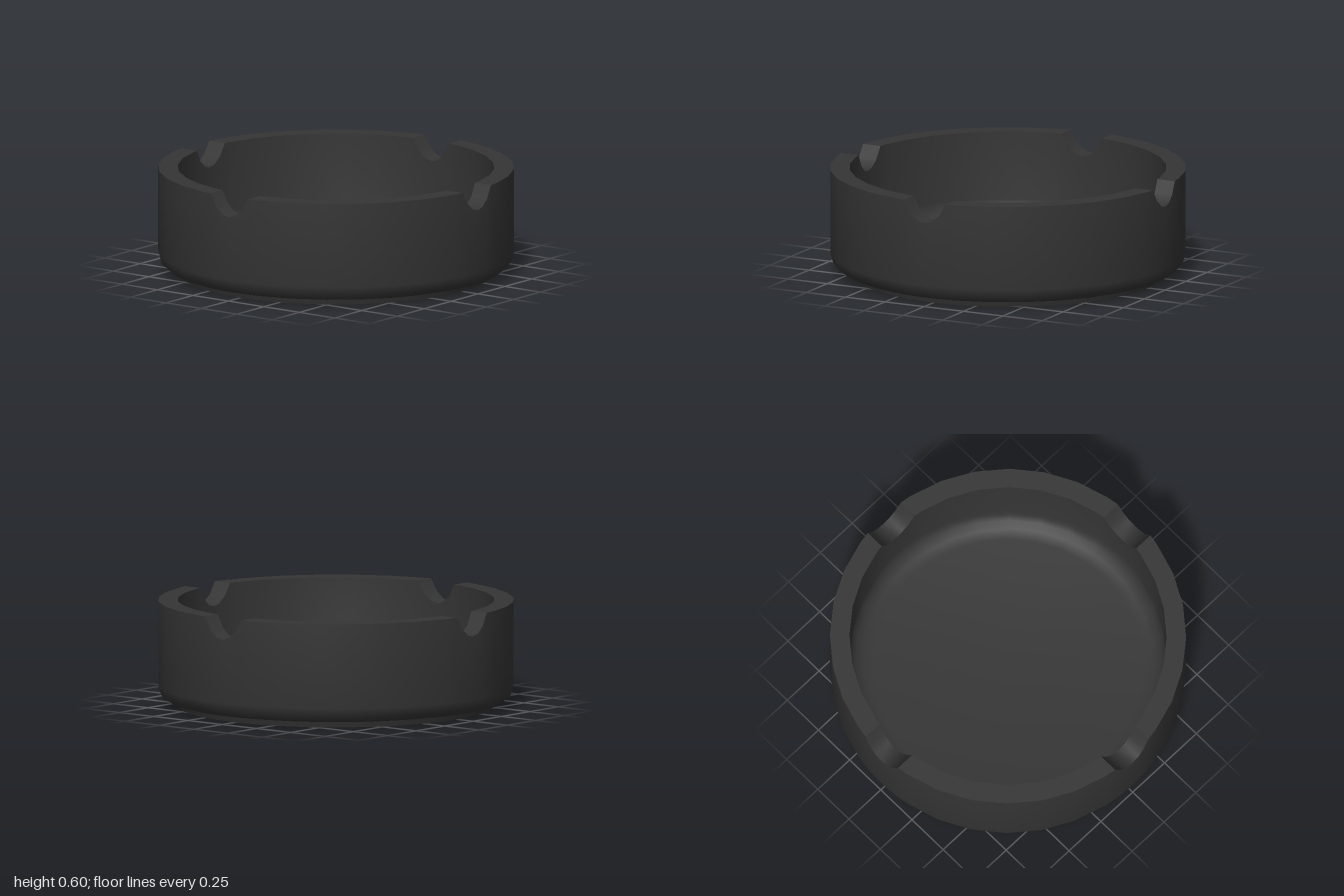
import * as THREE from 'three';
import { toCreasedNormals } from 'three/addons/utils/BufferGeometryUtils.js';

const SIDES = 32;
const TOP = 0.6;

// Half of a notch: [sideways offset, height], mirrored about its middle
const NOTCH = [[0, 0.48], [0.045, 0.492], [0.09, 0.53], [0.13, TOP]];

// Wall sections as [radius, height]; a null height follows the notched rim
const PROFILE = [
  [0, 0.1], [0.76, 0.1], [0.82, 0.108], [0.862, 0.13], [0.885, 0.17],
  [0.89, 0.21], [0.89, null], [1, null], [1, 0.12],
  [0.985, 0.07], [0.95, 0.04], [0.89, 0.03],
];

// Columns around the bowl: extra ones where the four notches cut the rim
function makeColumns() {
  const columns = [];
  const notch = [
    ...NOTCH.slice(1).reverse().map(([u, y]) => [-u, y]),
    ...NOTCH,
  ];
  for (let q = 0; q < 4; q++) {
    const base = q * Math.PI / 2;
    for (const [u, y] of notch) columns.push({ base, u, y });
    for (let i = 1; i < SIDES / 4; i++) {
      columns.push({ base, angle: i * 2 * Math.PI / SIDES, y: TOP });
    }
  }
  return columns;
}

// Notch sides run parallel, so their angle depends on the radius
function pointOn(column, [r, height]) {
  const spread = column.u === undefined
    ? column.angle
    : Math.asin(column.u / Math.max(r, 0.89));
  const a = column.base + spread;
  return [r * Math.sin(a), height ?? column.y, r * Math.cos(a)];
}

function bowlGeometry() {
  const columns = makeColumns();
  const rows = PROFILE.length;
  const positions = [];
  const index = [];
  for (const column of columns) {
    for (const p of PROFILE) positions.push(...pointOn(column, p));
  }
  for (let c = 0; c < columns.length; c++) {
    const next = (c + 1) % columns.length;
    for (let r = 0; r < rows - 1; r++) {
      const a = c * rows + r, b = next * rows + r;
      if (r > 0) index.push(a, b + 1, b);
      index.push(a, a + 1, b + 1);
    }
  }
  const geometry = new THREE.BufferGeometry();
  geometry.setAttribute('position', new THREE.Float32BufferAttribute(positions, 3));
  geometry.setIndex(index);
  return toCreasedNormals(geometry, 0.7);
}

export function createModel() {
  const group = new THREE.Group();
  group.name = 'ashtray';
  const charcoal = new THREE.MeshStandardMaterial({ color: 0x353535 });
  charcoal.name = 'charcoal';

  // Hollow dish with a rounded base and four rests in the rim
  const bowl = new THREE.Mesh(bowlGeometry(), charcoal);
  bowl.name = 'bowl';
  group.add(bowl);

  // Low tapered foot
  const foot = new THREE.Mesh(new THREE.CylinderGeometry(0.9, 0.89, 0.032, SIDES), charcoal);
  foot.name = 'foot';
  foot.position.y = 0.016;
  group.add(foot);

  return group;
}
